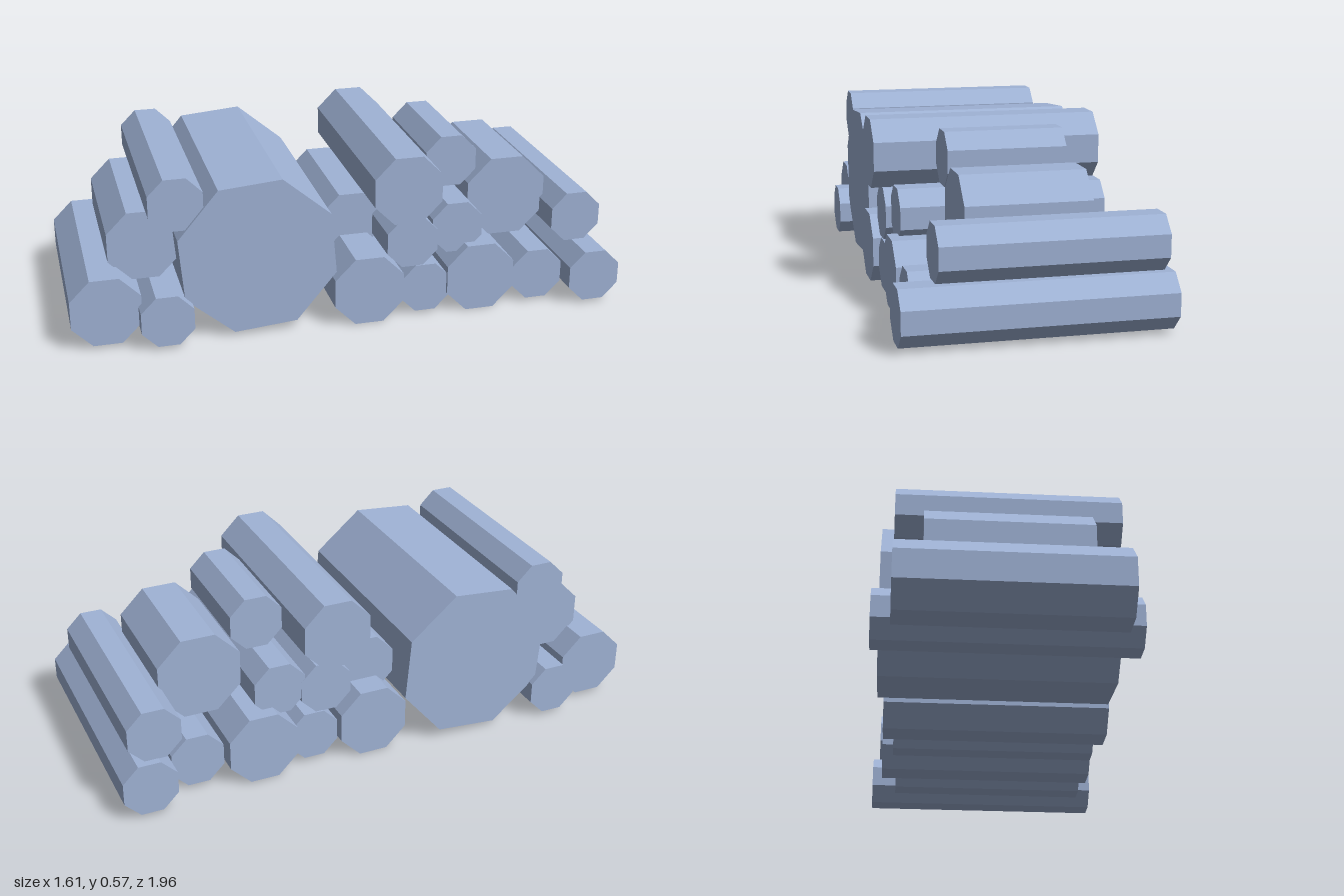
import * as THREE from 'three';

const steel = new THREE.MeshStandardMaterial({ color: 0xa0b3d6 });
steel.name = 'pale blue grey';

const HEADING = THREE.MathUtils.degToRad(59); // all logs lie along this direction
const AXIS = new THREE.Vector3(Math.sin(HEADING), 0, Math.cos(HEADING));

// name, near end centre (x, y, z), half height across flats, length, roll in degrees
const LOGS = [
  // front stack
  ['frontBottomLog', -0.157, 0.127, 0.89, 0.113, 0.69, 0],
  ['frontBottomThinLog', -0.01, 0.1, 0.76, 0.085, 0.81, 0],
  ['frontMiddleLog', -0.165, 0.305, 0.725, 0.115, 0.51, 0],
  ['frontTopThinLog', -0.028, 0.473, 0.695, 0.087, 0.7, 0],
  // the thick log
  ['thickLog', 0.113, 0.272, 0.48, 0.25, 0.75, 4.7],
  // bottom row
  ['bottomLog1', 0.32, 0.118, 0.18, 0.116, 0.755, 0],
  ['bottomThinLog1', 0.405, 0.097, 0, 0.083, 0.7, 0],
  ['bottomLog2', 0.512, 0.118, -0.157, 0.116, 0.75, 0],
  ['bottomThinLog2', 0.61, 0.1, -0.34, 0.087, 0.69, 0],
  ['bottomThinLog3', 0.757, 0.1, -0.465, 0.088, 0.84, 0],
  // middle row
  ['middleShortLog', 0.138, 0.28, 0.08, 0.1, 0.46, 0],
  ['middleThinLog1', 0.378, 0.265, 0.037, 0.086, 0.69, 0],
  ['middleThinLog2', 0.444, 0.293, -0.11, 0.086, 0.67, 0],
  ['middleLog', 0.437, 0.328, -0.375, 0.138, 0.4, 0],
  ['middleThinLog3', 0.643, 0.273, -0.5, 0.086, 0.7, 0],
  // top row
  ['topLog', 0.395, 0.463, 0.08, 0.113, 0.755, 0],
  ['topThinLog', 0.33, 0.472, -0.205, 0.088, 0.385, 0],
];

// An octagonal log with a flat side up and hard edges
function makeLog([name, x, y, z, half, length, roll]) {
  const radius = half / Math.cos(Math.PI / 8);
  const geometry = new THREE.CylinderGeometry(radius, radius, length, 8)
    .rotateY(Math.PI / 8)
    .rotateX(Math.PI / 2)
    .rotateZ(THREE.MathUtils.degToRad(roll))
    .toNonIndexed();
  geometry.computeVertexNormals();
  const log = new THREE.Mesh(geometry, steel);
  log.name = name;
  log.rotation.y = HEADING;
  log.position.set(x, y, z).addScaledVector(AXIS, -length / 2);
  return log;
}

export function createModel() {
  const pile = new THREE.Group();
  pile.name = 'logPile';
  for (const entry of LOGS) pile.add(makeLog(entry));
  return pile;
}
